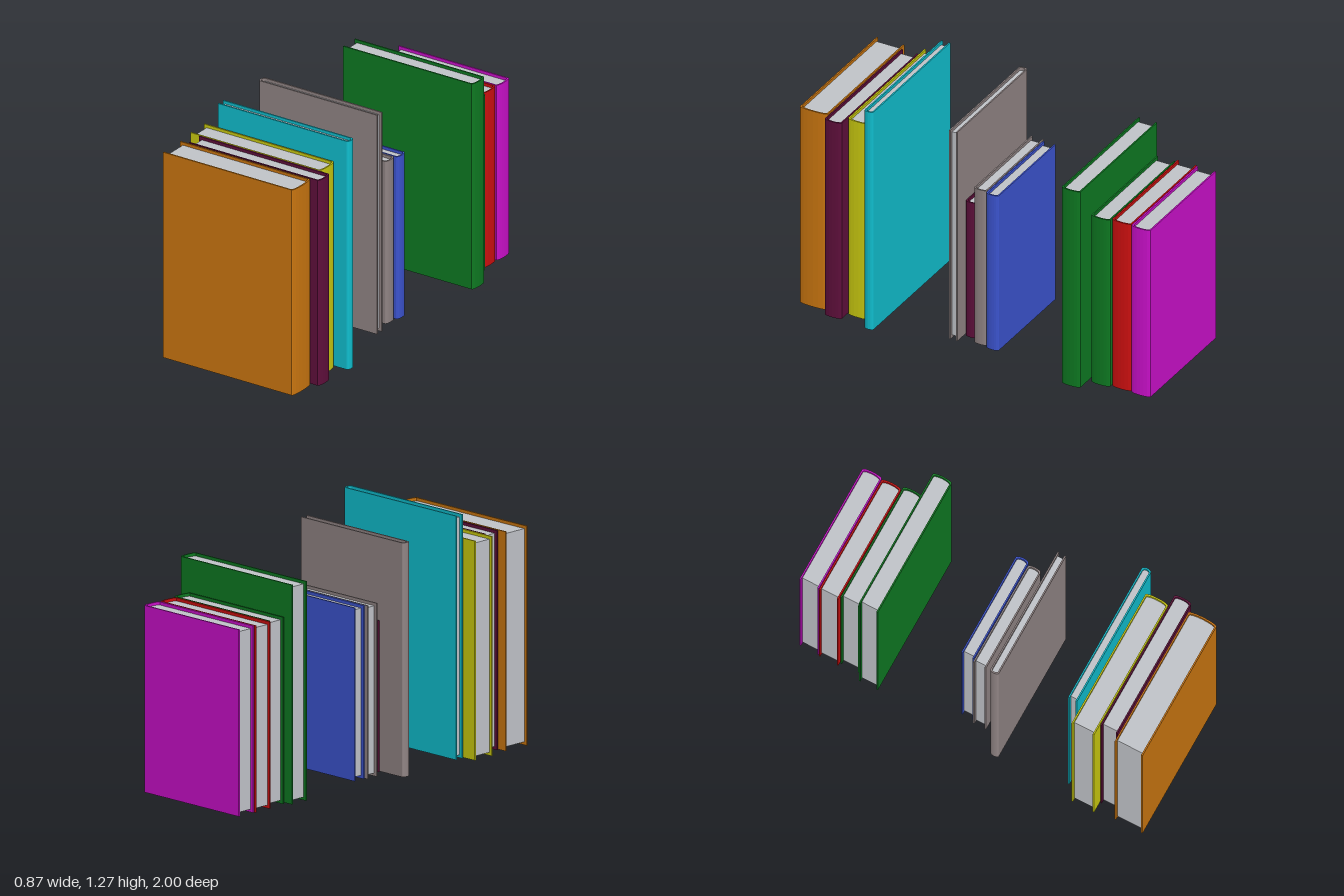
import * as THREE from 'three';

const material = (name, color) => {
  const m = new THREE.MeshStandardMaterial({ color });
  m.name = name;
  return m;
};

const COVER = 0.008;   // board thickness
const INSET = 0.016;   // how far the pages sit inside the boards
const BULGE = 0.012;   // rounding of the spine

// Points of a shallow spine curve, from the -halfWidth side to the +halfWidth side
function spineCurve(x, halfWidth, bulge, steps = 8) {
  const pts = [];
  for (let i = 0; i <= steps; i++) {
    const a = -Math.PI / 2 + (Math.PI * i) / steps;
    pts.push(new THREE.Vector2(x + Math.cos(a) * bulge, Math.sin(a) * halfWidth));
  }
  return pts;
}

// Extrude a plan outline upwards from y0 to y1
function upright(points, y0, y1) {
  const geo = new THREE.ExtrudeGeometry(new THREE.Shape(points), { depth: y1 - y0, bevelEnabled: false });
  geo.rotateX(-Math.PI / 2);
  geo.translate(0, y0, 0);
  return geo;
}

// One hardback: a U-shaped cover wrapped round a page block, spine towards +x
function makeBook({ name, x0, x1, z0, z1, height, cover, flip }, pagesMaterial) {
  const book = new THREE.Group();
  book.name = name;
  const halfLength = (x1 - x0) / 2, half = (z1 - z0) / 2;
  const spineX = halfLength - BULGE;
  const inner = half - COVER;

  const outline = [
    new THREE.Vector2(-halfLength, -half),
    ...spineCurve(spineX, half, BULGE),
    new THREE.Vector2(-halfLength, half),
    new THREE.Vector2(-halfLength, inner),
    ...spineCurve(spineX - COVER, inner, BULGE).reverse(),
    new THREE.Vector2(-halfLength, -inner),
  ];
  const coverMesh = new THREE.Mesh(upright(outline, 0, height), cover);
  coverMesh.name = 'cover';

  const block = [
    new THREE.Vector2(-halfLength + INSET, -inner),
    ...spineCurve(spineX - COVER, inner, BULGE),
    new THREE.Vector2(-halfLength + INSET, inner),
  ];
  const pages = new THREE.Mesh(upright(block, INSET, height - INSET), pagesMaterial);
  pages.name = 'pages';

  book.add(coverMesh, pages);
  book.position.set((x0 + x1) / 2, 0, (z0 + z1) / 2);
  if (flip) book.rotation.y = Math.PI;
  return book;
}

export function createModel() {
  const paper = material('paper', 0xc2c5ca);
  const orange = material('orange', 0xcc7710);
  const maroon = material('maroon', 0x600f3c);
  const yellow = material('yellow', 0xcccc10);
  const cyan = material('cyan', 0x10bfcf);
  const grey = material('warm grey', 0x918585);
  const blue = material('blue', 0x3c54d0);
  const green = material('green', 0x0e7a22);
  const red = material('red', 0xd01010);
  const magenta = material('magenta', 0xcc10cc);

  // name, fore-edge/spine x range, z range, height, cover, spine on the -x side
  const books = [
    ['orangeBook', -0.42, 0.378, 0.84, 1.0, 1.145, orange],
    ['maroonBook', -0.376, 0.421, 0.735, 0.832, 1.145, maroon],
    ['yellowBook', -0.437, 0.36, 0.603, 0.732, 1.145, yellow],
    ['cyanBook', -0.363, 0.435, 0.543, 0.594, 1.273, cyan],
    ['thinGreyBook', -0.411, 0.315, 0.119, 0.167, 1.222, grey, true],
    ['smallMaroonBook', -0.248, 0.252, 0.046, 0.111, 0.79, maroon],
    ['greyBook', -0.304, 0.289, -0.032, 0.042, 0.905, grey],
    ['blueBook', -0.288, 0.305, -0.108, -0.036, 0.905, blue],
    ['tallGreenBook', -0.376, 0.421, -0.646, -0.538, 1.145, green],
    ['greenBook', -0.338, 0.34, -0.772, -0.664, 0.975, green],
    ['redBook', -0.355, 0.324, -0.887, -0.776, 0.975, red],
    ['magentaBook', -0.35, 0.33, -1.0, -0.89, 0.975, magenta],
  ];

  const model = new THREE.Group();
  model.name = 'books';
  for (const [name, x0, x1, z0, z1, height, cover, flip] of books) {
    model.add(makeBook({ name, x0, x1, z0, z1, height, cover, flip }, paper));
  }
  return model;
}
